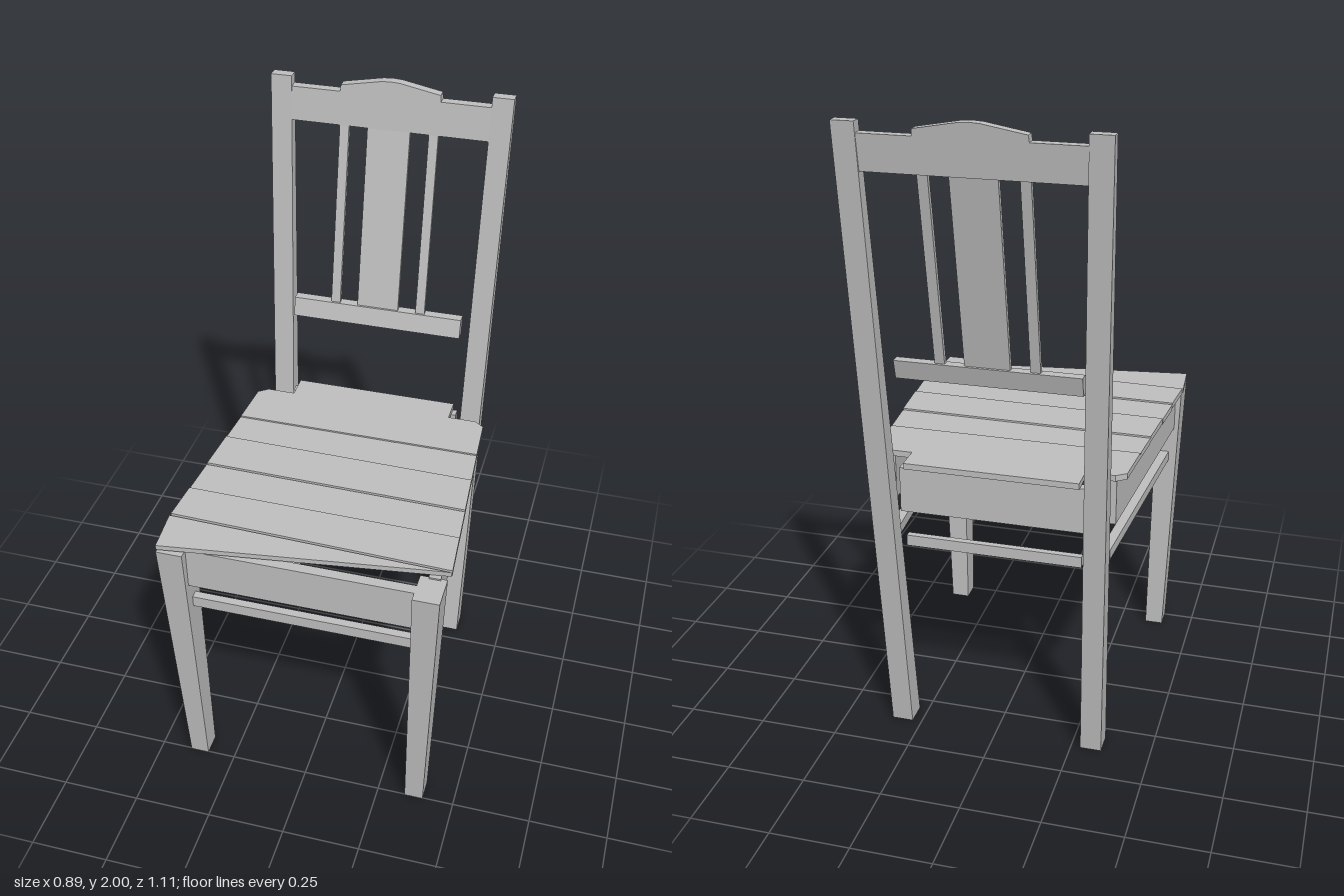
import * as THREE from 'three';

export function createModel() {
  const chair = new THREE.Group();
  chair.name = 'chair';
  const grey = new THREE.MeshStandardMaterial({ color: 0xc0c0c0 });
  grey.name = 'paleGrey';

  function add(name, geometry) {
    const mesh = new THREE.Mesh(geometry, grey);
    mesh.name = name;
    chair.add(mesh);
    return mesh;
  }

  // Tapered post between two horizontal rectangles [x0, x1, z0, z1]
  function post(name, y0, a, y1, b) {
    const g = new THREE.BoxGeometry(1, 1, 1).toNonIndexed();
    const p = g.attributes.position;
    for (let i = 0; i < p.count; i++) {
      const up = p.getY(i) > 0;
      const r = up ? b : a;
      p.setXYZ(i, p.getX(i) > 0 ? r[1] : r[0], up ? y1 : y0, p.getZ(i) > 0 ? r[3] : r[2]);
    }
    g.computeVertexNormals();
    return add(name, g);
  }

  // Flat board from an outline of [x, z] points
  function board(name, outline, y0, y1) {
    const shape = new THREE.Shape(outline.map(([x, z]) => new THREE.Vector2(x, z)));
    const g = new THREE.ExtrudeGeometry(shape, { depth: y1 - y0, bevelEnabled: false });
    g.rotateX(Math.PI / 2).translate(0, y1, 0);
    return add(name, g);
  }

  const mirrored = ([x0, x1, z0, z1], s) => (s > 0 ? [x0, x1, z0, z1] : [-x1, -x0, z0, z1]);

  for (const s of [1, -1]) {
    const side = s > 0 ? 'left' : 'right';
    const pair = (name, y0, a, y1, b) => post(side + name, y0, mirrored(a, s), y1, mirrored(b, s));
    // Legs, the rear ones leaning back to carry the backrest
    pair('FrontLeg', 0, [0.34, 0.4, 0.434, 0.503], 0.915, [0.35, 0.432, 0.447, 0.556]);
    pair('BackLeg', 0, [0.28, 0.347, -0.37, -0.297], 1.987, [0.315, 0.382, -0.553, -0.518]);
    // Side apron and stretcher, converging towards the back
    const rail = (w) => [[s * (0.395 + w), 0.455], [s * (0.395 - w), 0.455], [s * (0.345 - w), -0.31], [s * (0.345 + w), -0.31]];
    board(side + 'Apron', rail(0.018), 0.775, 0.92);
    board(side + 'Stretcher', rail(0.015).map(([x, z]) => [x - s * 0.012, z]), 0.652, 0.685);
    // Narrow back slat
    pair('BackSlat', 1.27, [0.127, 0.157, -0.412, -0.396], 1.86, [0.127, 0.157, -0.522, -0.506]);
  }

  // Front and rear aprons and stretchers
  const cross = (name, x, z0, z1, y0, y1) => board(name, [[-x, z0], [x, z0], [x, z1], [-x, z1]], y0, y1);
  cross('frontApron', 0.352, 0.492, 0.526, 0.775, 0.914);
  cross('frontStretcher', 0.35, 0.478, 0.505, 0.673, 0.71);
  cross('rearApron', 0.285, -0.392, -0.362, 0.775, 0.92);
  cross('rearStretcher', 0.275, -0.376, -0.355, 0.65, 0.685);

  // Backrest: lower rail, broad slat and crowned top rail
  post('lowerBackRail', 1.215, [-0.28, 0.28, -0.407, -0.375], 1.275, [-0.28, 0.28, -0.422, -0.39]);
  post('broadBackSlat', 1.27, [-0.068, 0.068, -0.412, -0.396], 1.86, [-0.068, 0.068, -0.522, -0.506]);
  const crown = new THREE.Shape([
    [-0.318, 1.85], [0.318, 1.85], [0.318, 1.955], [0.159, 1.955], [0.157, 1.975],
    [0.03, 1.998], [0, 2], [-0.03, 1.998], [-0.157, 1.975], [-0.159, 1.955], [-0.318, 1.955],
  ].map(([x, y]) => new THREE.Vector2(x, y)));
  const top = new THREE.ExtrudeGeometry(crown, { depth: 0.032, bevelEnabled: false });
  const p = top.attributes.position;
  for (let i = 0; i < p.count; i++) p.setZ(i, p.getZ(i) - 0.535 - (p.getY(i) - 1.85) * 0.12);
  top.computeVertexNormals();
  add('topBackRail', top);

  // Seat planks; joints are [z at right, z at left]
  const joints = [[-0.14, -0.138], [0.019 - 0.039, -0.005], [0.136, 0.151], [0.266, 0.279], [0.405, 0.434]];
  const halfWidth = (z) => 0.411 + z * 0.072;
  const gap = 0.002;
  board('rearSeatPlank', [
    [-0.27, -0.4], [0.27, -0.4], [0.27, -0.318], [0.36, -0.318], [0.391, -0.295],
    [halfWidth(-0.14), joints[0][1] - gap], [-halfWidth(-0.14), joints[0][0] - gap],
    [-0.391, -0.295], [-0.36, -0.318], [-0.27, -0.318],
  ], 0.92, 0.939);
  for (let i = 0; i < 4; i++) {
    const [r0, l0] = joints[i].map((z) => z + gap);
    const [r1, l1] = joints[i + 1].map((z) => z - gap);
    const lift = i % 2 ? 0.002 : -0.002;
    board('seatPlank' + (i + 1), [
      [-halfWidth(r0), r0], [halfWidth(l0), l0], [halfWidth(l1), l1], [-halfWidth(r1), r1],
    ], 0.92 + lift, 0.939 + lift);
  }
  // Front plank, cut away diagonally
  board('frontSeatPlank', [[-0.443, 0.409], [0.44, 0.437], [0.39, 0.443], [-0.432, 0.553]], 0.922, 0.938);

  return chair;
}
